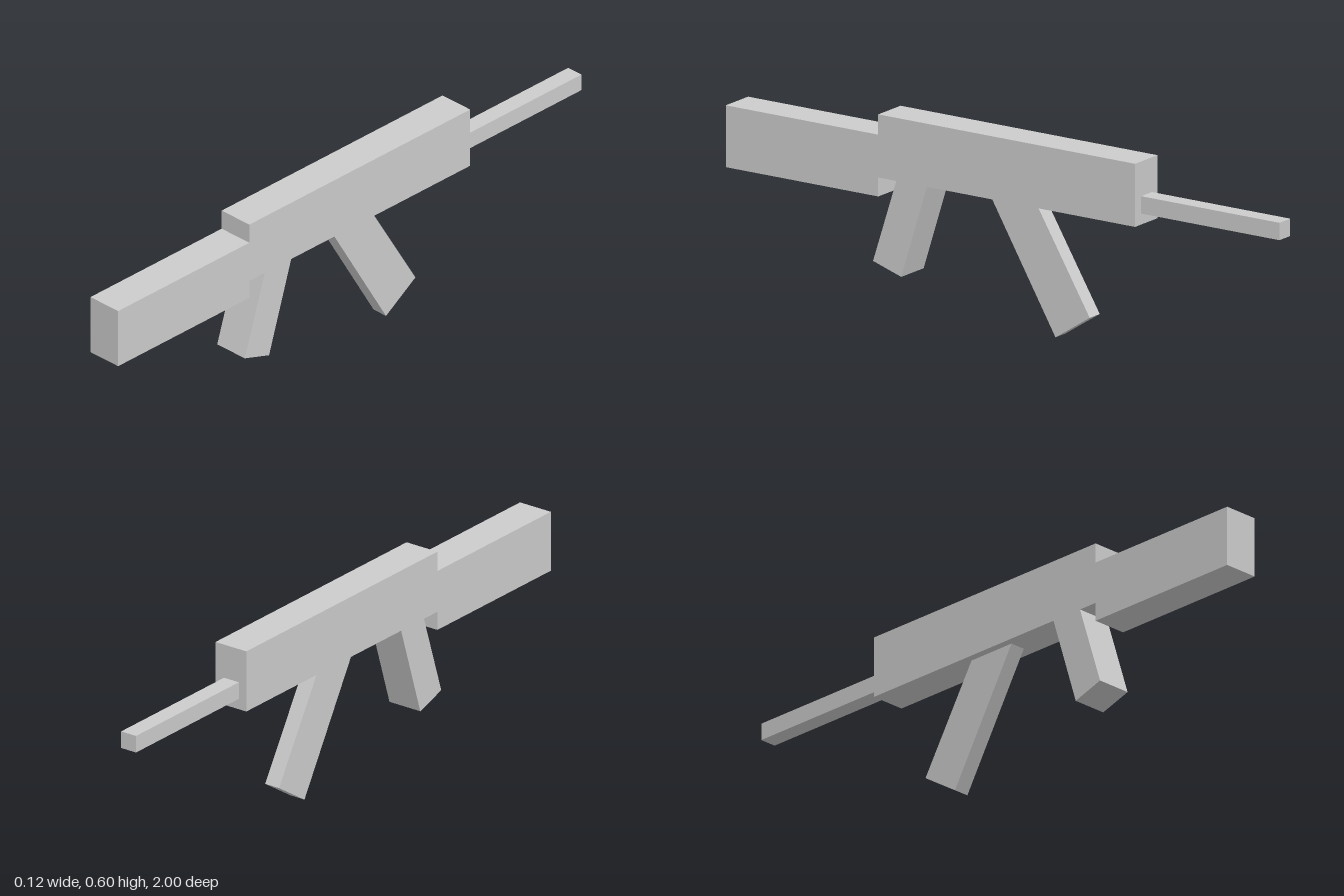
import * as THREE from 'three';

const material = new THREE.MeshStandardMaterial({ color: 0xcccccc, flatShading: true });

// Side profile of [z, y] points, extruded across x from x0 to x1
function slab(name, x0, x1, points) {
  const shape = new THREE.Shape(points.map(([z, y]) => new THREE.Vector2(z, y)));
  const geometry = new THREE.ExtrudeGeometry(shape, { depth: x1 - x0, bevelEnabled: false });
  geometry.rotateY(-Math.PI / 2).translate(x1, 0, 0);
  const mesh = new THREE.Mesh(geometry, material);
  mesh.name = name;
  return mesh;
}

// Axis-aligned block between two corners
function block(name, [x0, x1], [y0, y1], [z0, z1]) {
  const mesh = new THREE.Mesh(new THREE.BoxGeometry(x1 - x0, y1 - y0, z1 - z0), material);
  mesh.position.set((x0 + x1) / 2, (y0 + y1) / 2, (z0 + z1) / 2);
  mesh.name = name;
  return mesh;
}

export function createModel() {
  const group = new THREE.Group();
  group.name = 'rifle';
  const w = 0.058;
  group.add(
    block('receiver', [-w, w], [0.404, 0.6], [-0.495, 0.443]),
    block('stock', [-w, w], [0.345, 0.537], [0.443, 1]),
    block('barrel', [-0.03, 0.026], [0.438, 0.492], [-1, -0.495]),
    // Slanted parts under the receiver
    slab('grip', -w, w, [[0.377, 0.404], [0.462, 0.142], [0.359, 0.109], [0.265, 0.404]]),
    slab('magazine', -0.033, 0.019, [[0.062, 0.404], [-0.177, 0], [-0.302, 0.081], [-0.107, 0.404]])
  );
  return group;
}
